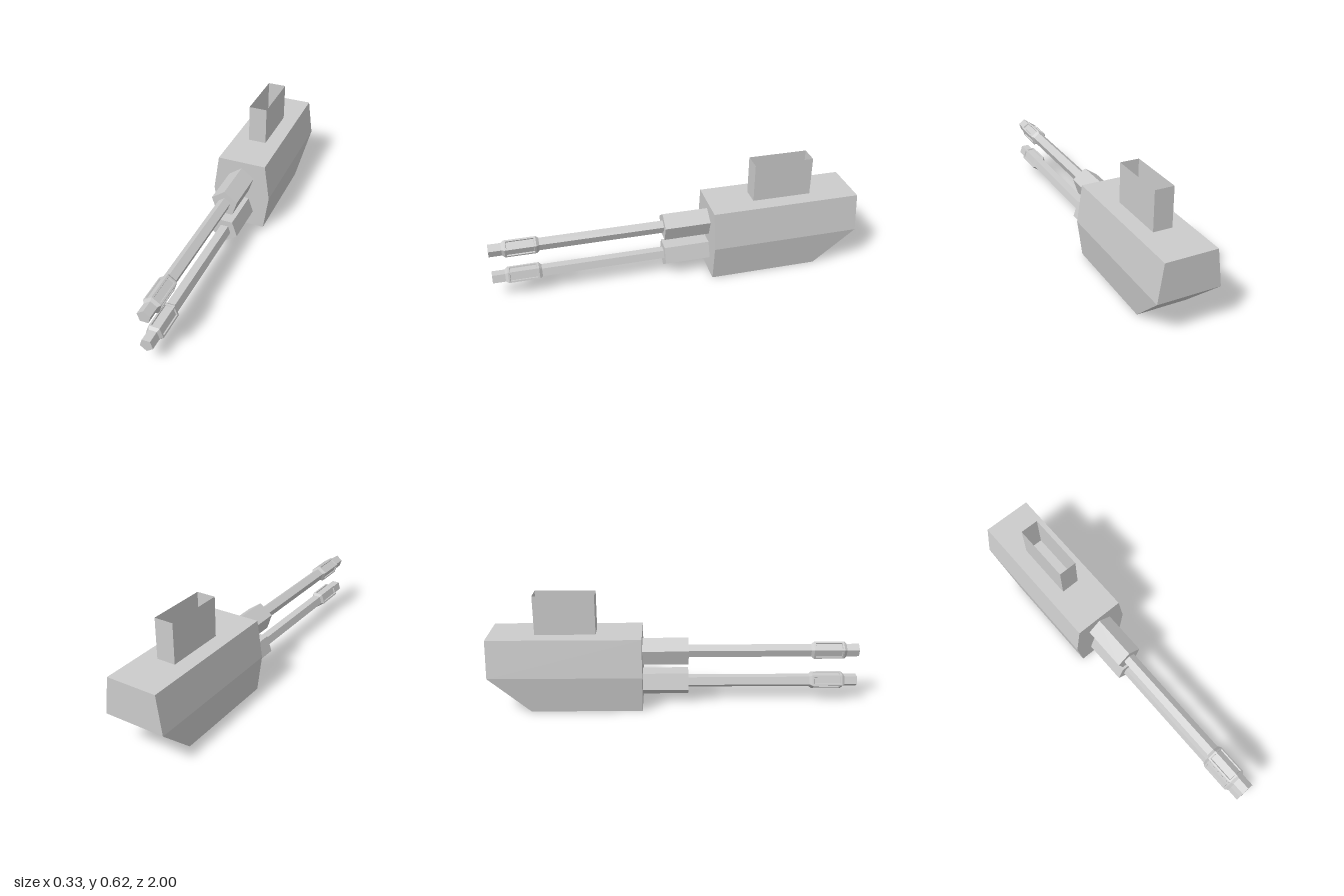
import * as THREE from 'three';
import { ConvexGeometry } from 'three/addons/geometries/ConvexGeometry.js';

const material = new THREE.MeshStandardMaterial({ color: 0xcccccc, flatShading: true });
const openMaterial = new THREE.MeshStandardMaterial({ color: 0xcccccc, flatShading: true, side: THREE.DoubleSide });

function part(name, geometry, mat = material) {
  const mesh = new THREE.Mesh(geometry, mat);
  mesh.name = name;
  return mesh;
}

// Five-sided prism along z with one corner pointing up
function pentagonPrism(radius, z0, z1) {
  return new THREE.CylinderGeometry(radius, radius, z1 - z0, 5)
    .rotateX(-Math.PI / 2)
    .translate(0, 0, (z0 + z1) / 2);
}

// Five-sided sleeve with chamfered ends and a sunken panel in every side
function sleeveGeometry(inner, outer, z0, z1, chamfer, border, depth) {
  const positions = [];
  const quad = (a, b, c, d) => [a, b, c, a, c, d].forEach((p) => positions.push(p.x, p.y, p.z));
  const bridge = (from, to) => {
    for (let k = 0; k < 4; k++) {
      const n = (k + 1) % 4;
      quad(from[k], from[n], to[n], to[k]);
    }
  };
  const half = Math.PI / 5;
  for (let i = 0; i < 5; i++) {
    const angle = Math.PI / 2 + half + i * 2 * half;
    const normal = new THREE.Vector3(Math.cos(angle), Math.sin(angle), 0);
    const across = new THREE.Vector3(-normal.y, normal.x, 0);
    // Rectangle on this side, counter-clockwise seen from outside
    const ring = (height, halfWidth, za, zb) =>
      [[-1, za], [1, za], [1, zb], [-1, zb]].map(([s, z]) => {
        const p = normal.clone().multiplyScalar(height).addScaledVector(across, s * halfWidth);
        p.z = z;
        return p;
      });
    const face = (r, za, zb, inset = 0, drop = 0) =>
      ring(r * Math.cos(half) - drop, r * Math.sin(half) - inset, za + inset, zb - inset);
    const base = face(inner, z0, z1);
    const rim = face(outer, z0 + chamfer, z1 - chamfer);
    const panelEdge = face(outer, z0 + chamfer, z1 - chamfer, border);
    const panelFloor = face(outer, z0 + chamfer, z1 - chamfer, border + 0.002, depth);
    // across x normal points to -z, so the rings are flipped to face outwards
    const rings = [base, rim, panelEdge, panelFloor];
    quad(base[0], base[1], rim[1], rim[0]);
    quad(base[2], base[3], rim[3], rim[2]);
    bridge(rings[1], rings[2]);
    bridge(rings[2], rings[3]);
    quad(...panelFloor);
  }
  const geometry = new THREE.BufferGeometry();
  geometry.setAttribute('position', new THREE.Float32BufferAttribute(positions, 3));
  geometry.computeVertexNormals();
  return geometry;
}

function createGun(name) {
  const gun = new THREE.Group();
  gun.name = name;
  gun.add(
    part('barrelMount', pentagonPrism(0.0763, -0.18, 0.07)),
    part('barrel', pentagonPrism(0.036, 0.07, 1)),
    part('muzzleSleeve', sleeveGeometry(0.036, 0.049, 0.738, 0.932, 0.015, 0.009, 0.007), openMaterial)
  );
  return gun;
}

export function createModel() {
  const model = new THREE.Group();
  model.name = 'twinGun';

  // Six-sided housing with a cut-off lower rear
  const corners = [];
  for (const [x, y, back] of [[0.137, 0, -0.78], [0.166, 0.205, -1], [0.137, 0.41, -1]]) {
    for (const s of [-1, 1]) {
      corners.push(new THREE.Vector3(s * x, y, -0.18), new THREE.Vector3(s * x, y, back));
    }
  }
  model.add(part('housing', new ConvexGeometry(corners)));

  // Open rectangular chute on top
  const chute = new THREE.CylinderGeometry(Math.SQRT1_2, Math.SQRT1_2, 1, 4, 1, true)
    .rotateY(Math.PI / 4)
    .scale(0.102, 0.214, 0.326)
    .translate(0, 0.517, -0.59);
  model.add(part('topChute', chute, openMaterial));

  // Two guns, the lower one turned upside down
  const upper = createGun('upperGun');
  upper.position.y = 0.295;
  const lower = createGun('lowerGun');
  lower.position.y = 0.117;
  lower.rotation.z = Math.PI;
  model.add(upper, lower);

  return model;
}
